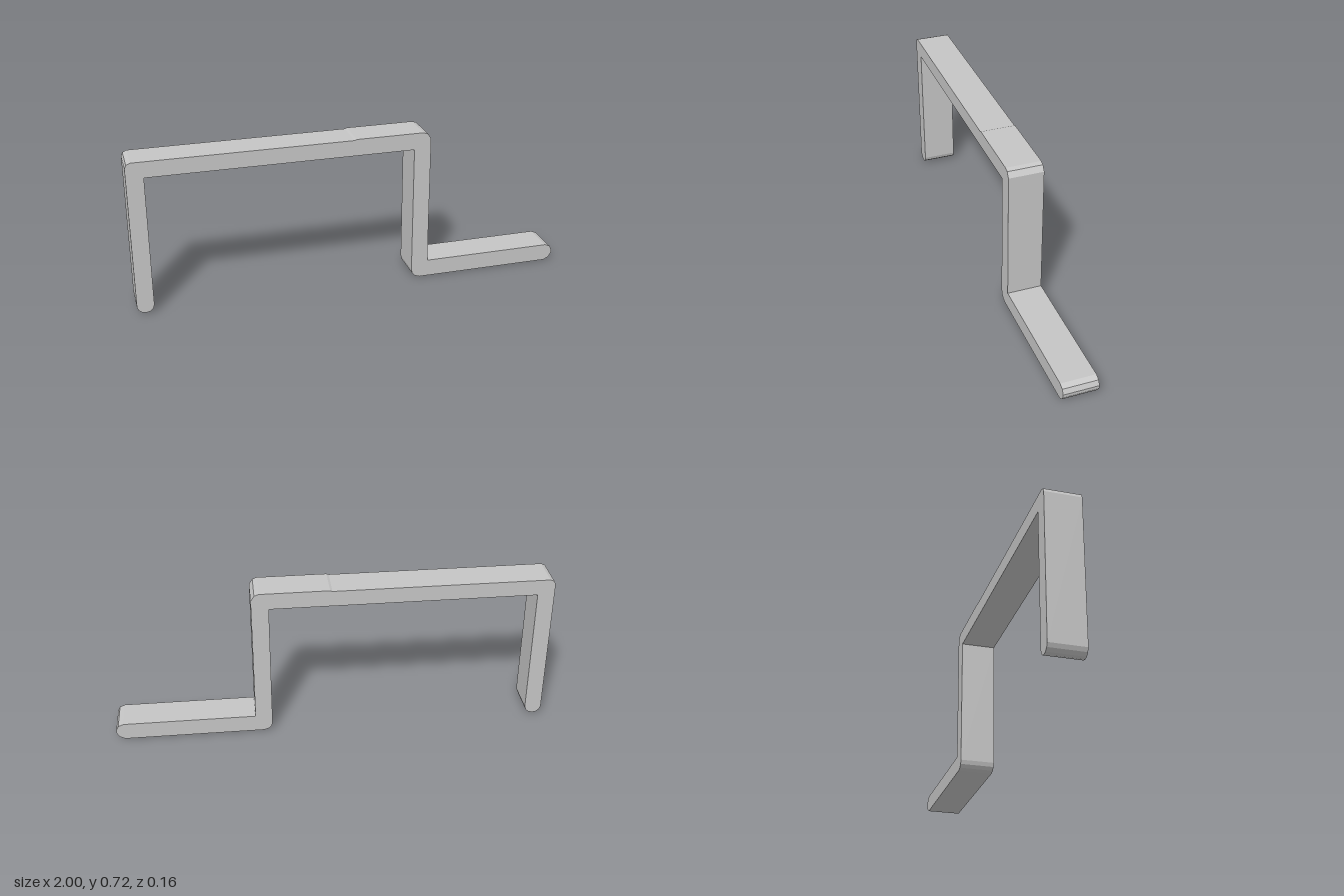
import * as THREE from 'three';

export function createModel() {
  const group = new THREE.Group();
  group.name = 'bracket';
  const grey = new THREE.MeshStandardMaterial({ color: 0xc4c4c4, flatShading: true });
  grey.name = 'plain grey';

  // Outline of the bent bar, counter-clockwise from the tip of the short leg
  const outline = [
    // rounded leg end
    [-1, 0.035], [-0.993, 0.018], [-0.978, 0.006], [-0.962, 0.003], [-0.944, 0.007], [-0.929, 0.02], [-0.923, 0.037],
    // inner corners under the bridge
    [-0.923, 0.645], [0.28, 0.645],
    // outer bend at the foot
    [0.28, 0.04], [0.285, 0.021], [0.299, 0.007], [0.32, 0],
    // rounded foot end
    [0.962, 0], [0.986, 0.012], [0.999, 0.033], [1, 0.048], [0.989, 0.07], [0.965, 0.08],
    // inner corner of the foot, then the outer bends of the bridge
    [0.358, 0.08], [0.358, 0.69], [0.342, 0.715], [0.322, 0.722],
    [0.01, 0.722], [0, 0.718], [-0.975, 0.718], [-0.993, 0.71], [-1, 0.693],
  ];
  const shape = new THREE.Shape(outline.map(([x, y]) => new THREE.Vector2(x, y)));

  const width = 0.16;
  const geometry = new THREE.ExtrudeGeometry(shape, { depth: width, bevelEnabled: false });
  geometry.translate(0, 0, -width / 2);
  const bar = new THREE.Mesh(geometry, grey);
  bar.name = 'bentBar';
  group.add(bar);
  return group;
}
